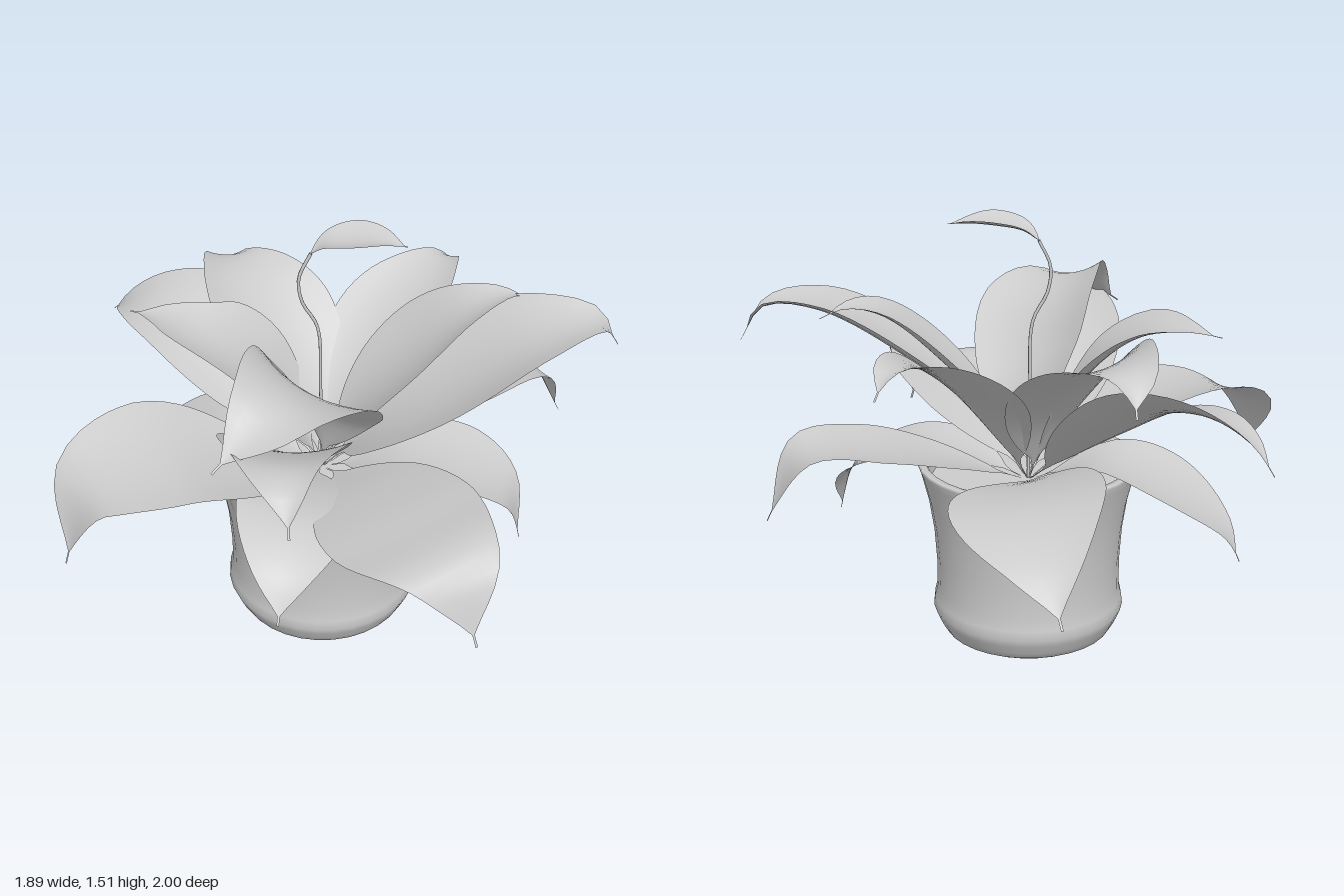
import * as THREE from 'three';

const V = (p) => new THREE.Vector3(...p);
const CX = -0.045, CZ = 0.04; // pot centre
const material = new THREE.MeshStandardMaterial({ color: 0xcccccc, side: THREE.DoubleSide });

// A blade swept along a spine: narrow stalk, broad middle, pointed whisker tip.
// roll tilts the blade about its spine, cup lifts its edges.
function leaf(name, points, halfWidth, { roll = 0, cup = 0.2, stalk = 0.1 } = {}) {
  const curve = new THREE.CatmullRomCurve3(points.map(V), false, 'centripetal');
  const rows = 28, cols = 8;
  const geo = new THREE.PlaneGeometry(1, 1, cols, rows);
  const pos = geo.attributes.position;
  const heading = V(points[points.length - 1]).sub(V(points[0])).setY(0).normalize();
  const across = new THREE.Vector3().crossVectors(heading, new THREE.Vector3(0, 1, 0));
  for (let j = 0; j <= rows; j++) {
    const t = j / rows;
    const centre = curve.getPointAt(t), tangent = curve.getTangentAt(t);
    const side = across.clone().addScaledVector(tangent, -across.dot(tangent)).normalize();
    side.applyAxisAngle(tangent, roll);
    const up = new THREE.Vector3().crossVectors(side, tangent);
    const v = THREE.MathUtils.clamp((t - stalk) / (0.96 - stalk), 0, 1);
    const bulge = Math.max(Math.sin(Math.PI * v), 0);
    const w = halfWidth * Math.pow(bulge, v < 0.5 ? 0.75 : 1) + 0.004;
    for (let i = 0; i <= cols; i++) {
      const s = (i / cols) * 2 - 1;
      const p = centre.clone().addScaledVector(side, s * w).addScaledVector(up, cup * w * s * s);
      pos.setXYZ(j * (cols + 1) + i, p.x, p.y, p.z);
    }
  }
  geo.computeVertexNormals();
  const mesh = new THREE.Mesh(geo, material);
  mesh.name = name;
  return mesh;
}

// Spines without their shared root: [points, half width, options]
const lowerLeaves = [
  [[[0.0, 0.69, -0.32], [0.03, 0.71, -0.62], [0.01, 0.64, -0.85], [-0.02, 0.50, -1.0]], 0.25, { roll: 0.17 }],
  [[[-0.30, 0.68, -0.08], [-0.50, 0.62, -0.18], [-0.68, 0.48, -0.26], [-0.73, 0.37, -0.30]], 0.19],
  [[[-0.35, 0.74, 0.20], [-0.62, 0.82, 0.26], [-0.85, 0.77, 0.32], [-0.94, 0.53, 0.40]], 0.26, { roll: -0.12 }],
  [[[-0.15, 0.68, 0.30], [-0.20, 0.70, 0.50], [-0.25, 0.63, 0.66], [-0.28, 0.50, 0.76]], 0.19, { roll: -0.15 }],
  [[[0.07, 0.70, 0.35], [0.14, 0.77, 0.65], [0.25, 0.79, 0.90], [0.31, 0.56, 1.0]], 0.26, { roll: 0.15, cup: 0.05 }],
  [[[0.20, 0.67, 0.14], [0.40, 0.66, 0.18], [0.57, 0.56, 0.25], [0.61, 0.39, 0.30]], 0.18],
  [[[0.25, 0.70, -0.06], [0.50, 0.78, -0.16], [0.73, 0.79, -0.19], [0.86, 0.56, -0.20]], 0.20],
];
const upperLeaves = [
  [[[0.12, 0.80, 0.14], [0.35, 0.99, 0.20], [0.65, 1.17, 0.21], [0.85, 1.19, 0.19], [0.93, 1.08, 0.17]], 0.25, { roll: 0.1 }],
  [[[0.08, 0.82, 0.05], [0.25, 1.02, 0.05], [0.45, 1.19, 0.05], [0.57, 1.22, 0.03], [0.66, 1.19, 0.01]], 0.19],
  [[[0.08, 0.82, -0.06], [0.20, 0.98, -0.18], [0.36, 1.11, -0.31], [0.45, 1.13, -0.40], [0.50, 1.06, -0.48]], 0.19],
  [[[-0.10, 0.82, -0.08], [-0.18, 1.0, -0.22], [-0.25, 1.11, -0.38], [-0.30, 1.12, -0.52], [-0.30, 1.02, -0.63]], 0.23, { roll: 0.15 }],
  [[[-0.15, 0.80, 0.02], [-0.28, 1.0, 0.0], [-0.43, 1.11, -0.02], [-0.56, 1.14, -0.10], [-0.67, 1.13, -0.17]], 0.20],
  [[[-0.25, 0.80, -0.18], [-0.42, 0.94, -0.35], [-0.58, 0.96, -0.49], [-0.68, 0.91, -0.60], [-0.73, 0.83, -0.68]], 0.20, { roll: -0.35 }],
  [[[-0.05, 0.85, 0.13], [-0.09, 1.0, 0.25], [-0.15, 1.14, 0.40], [-0.27, 1.18, 0.55], [-0.46, 1.04, 0.65]], 0.23, { roll: -0.2 }],
  [[[-0.15, 0.78, 0.25], [-0.22, 0.95, 0.45], [-0.25, 1.06, 0.68], [-0.25, 1.04, 0.80], [-0.25, 0.94, 0.87]], 0.21],
];

function createPot() {
  const pot = new THREE.Group();
  pot.name = 'pot';
  pot.position.set(CX, 0, CZ);
  // Rounded foot, outer wall, rim and inner wall in one profile
  const profile = [
    [0, 0.005], [0.24, 0.005], [0.275, 0.009], [0.298, 0.022], [0.312, 0.045], [0.328, 0.078], [0.339, 0.105],
    [0.335, 0.14], [0.325, 0.18], [0.325, 0.28], [0.333, 0.40], [0.35, 0.51],
    [0.375, 0.61], [0.386, 0.64], [0.383, 0.65], [0.36, 0.65], [0.35, 0.63], [0.33, 0.52],
  ].map(([r, y]) => new THREE.Vector2(r, y));
  const wall = new THREE.Mesh(new THREE.LatheGeometry(profile, 32), material);
  wall.name = 'potWall';
  const soil = new THREE.Mesh(new THREE.CircleGeometry(0.345, 32).rotateX(-Math.PI / 2), material);
  soil.name = 'soil';
  soil.position.y = 0.58;
  pot.add(wall, soil);
  return pot;
}

export function createModel() {
  const model = new THREE.Group();
  model.name = 'pottedPlant';
  model.add(createPot());

  // Drooping outer ring and rising inner ring of leaves
  const root = [CX, 0.57, CZ];
  lowerLeaves.forEach(([pts, w, opt], i) =>
    model.add(leaf(`lowerLeaf${i + 1}`, [root, ...pts], w, { cup: 0.12, ...opt })));
  upperLeaves.forEach(([pts, w, opt], i) =>
    model.add(leaf(`upperLeaf${i + 1}`, [root, ...pts], w, { cup: 0.22, ...opt })));

  // Tall thin stem with a young leaf at its end
  const stemPath = new THREE.CatmullRomCurve3([
    root, [-0.05, 0.9, 0.04], [-0.06, 1.15, 0.04], [-0.11, 1.25, 0.04], [-0.12, 1.34, 0.04], [-0.08, 1.43, 0.04],
  ].map(V));
  const stem = new THREE.Mesh(new THREE.TubeGeometry(stemPath, 32, 0.006, 6), material);
  stem.name = 'stem';
  model.add(stem, leaf('youngLeaf',
    [[-0.08, 1.43, 0.04], [-0.03, 1.465, 0.05], [0.05, 1.48, 0.07], [0.14, 1.485, 0.09], [0.22, 1.475, 0.12]],
    0.088, { cup: 0.3, stalk: 0 }));
  return model;
}
